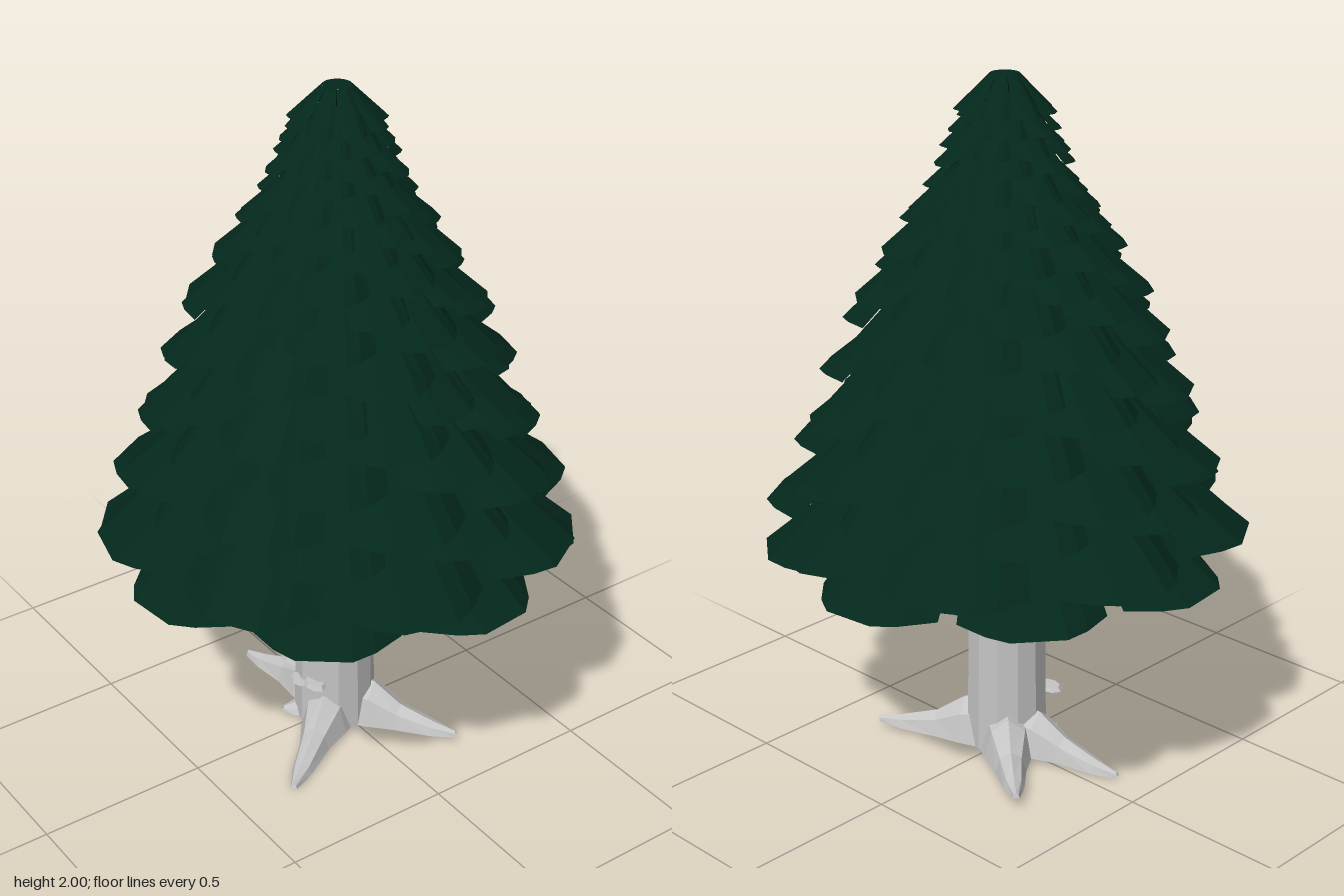
import * as THREE from 'three';

const foliageMat = new THREE.MeshStandardMaterial({ color: 0x04281c, side: THREE.DoubleSide, flatShading: true });
foliageMat.name = 'dark green needles';
const barkMat = new THREE.MeshStandardMaterial({ color: 0xc4c4c4, side: THREE.DoubleSide, flatShading: true });
barkMat.name = 'pale grey bark';

const RAD = Math.PI / 180;

// Joins equal-length rows of points into faceted quads; "closed" wraps each row
function loft(rows, closed = false) {
  const pos = [];
  for (let i = 0; i < rows.length - 1; i++) {
    const a = rows[i], b = rows[i + 1], n = a.length;
    for (let j = 0; j < (closed ? n : n - 1); j++) {
      const k = (j + 1) % n;
      pos.push(...a[j], ...b[j], ...b[k], ...a[j], ...b[k], ...a[k]);
    }
  }
  const g = new THREE.BufferGeometry();
  g.setAttribute('position', new THREE.Float32BufferAttribute(pos, 3));
  g.computeVertexNormals();
  return g;
}

// One drooping bough: steep at its level hem, flatter towards the trunk, sides folded down
function boughGeometry(R, steep, inner, top) {
  const row = (pts) => pts.map(([deg, r, y]) => [
    r * Math.sin(deg * RAD), y, -r * Math.cos(deg * RAD),
  ]).reverse();
  const mid = R * 0.72, y = steep * R * 0.28;
  return loft([
    row([[-22, inner, top], [-14, inner, top], [-6.4, inner, top], [6.4, inner, top], [14, inner, top], [22, inner, top]]),
    row([[-21, mid * 0.9, y], [-13, mid * 0.97, y], [-6.4, mid, y], [6.4, mid, y], [13, mid * 0.97, y], [21, mid * 0.9, y]]),
    row([[-20, R * 0.86, 0], [-12, R * 0.95, 0], [-6.4, R, 0], [6.4, R, 0], [12, R * 0.95, 0], [20, R * 0.86, 0]]),
  ]);
}

// Tapering root with a raised ridge, running from the trunk to its tip
function rootGeometry(length, height, tip) {
  const section = (t, w, low, h) => {
    const d = 0.03 + (length - 0.03) * t;
    return [[d, low, -w], [d, low + h * 0.7, -w * 0.7], [d, low + h, 0], [d, low + h * 0.7, w * 0.7], [d, low, w]];
  };
  return loft([
    section(0, 0.085, 0.015, height * 1.15),
    section(0.26, 0.07, 0.015, height),
    section(0.5, 0.045, 0.012, height * 0.55),
    section(0.8, 0.03, 0.004 + tip * 0.6, height * 0.28),
    section(1, 0.01, tip, 0.018),
  ], true);
}

export function createModel() {
  const tree = new THREE.Group();
  tree.name = 'pineTree';
  const add = (parent, name, geo, mat) => {
    const m = new THREE.Mesh(geo, mat);
    m.name = name;
    parent.add(m);
    return m;
  };

  // Foliage tiers: [bottom height, radius]
  const tiers = [
    [0.665, 0.68], [0.745, 0.692], [0.86, 0.605], [0.935, 0.605], [1.04, 0.545], [1.15, 0.525],
    [1.21, 0.475], [1.305, 0.455], [1.395, 0.41], [1.46, 0.36], [1.525, 0.335], [1.595, 0.29],
    [1.635, 0.26], [1.69, 0.225], [1.76, 0.19], [1.8, 0.178], [1.85, 0.152], [1.9, 0.14],
  ];
  const foliage = new THREE.Group();
  foliage.name = 'foliage';
  tree.add(foliage);
  tiers.forEach(([y, R], k) => {
    const t = k / (tiers.length - 1);
    const inner = Math.max(0.04, Math.min(0.095, R * 0.25));
    const geo = boughGeometry(R, 0.77 + 0.23 * t, inner, R * (0.35 + 0.364 * t));
    const tier = new THREE.Group();
    tier.name = 'boughTier' + (k + 1);
    tier.position.y = y;
    for (let i = 0; i < 8; i++) {
      add(tier, 'bough', geo, foliageMat).rotation.y = -((k % 2 ? 14.5 : -6.5) + 45 * i) * RAD;
    }
    foliage.add(tier);
  });
  const cap = add(foliage, 'crownCap', new THREE.CircleGeometry(0.04, 16), foliageMat);
  cap.rotation.x = -Math.PI / 2;
  cap.position.y = 2;

  // Trunk
  const trunk = add(tree, 'trunk', new THREE.CylinderGeometry(0.106, 0.12, 1.0, 12), barkMat);
  trunk.position.set(0.005, 0.515, 0.013);

  // Roots: [tip x, tip z, height at the trunk, tip height]
  const roots = [[-0.38, 0.07, 0.12, 0], [0.337, -0.19, 0.12, 0.018], [0.24, 0.325, 0.12, 0],
    [-0.285, -0.25, 0.12, 0.03], [-0.07, 0.15, 0.08, 0.01]];
  for (const [x, z, h, tip] of roots) {
    const r = add(tree, 'root', rootGeometry(Math.hypot(x, z), h, tip), barkMat);
    r.rotation.y = Math.atan2(-z, x);
  }

  // Small bark shelves on the front of the trunk
  for (const [x, y, z, s] of [[-0.085, 0.18, 0.1, 0.045], [-0.01, 0.158, 0.13, 0.035], [0.055, 0.177, 0.12, 0.042]]) {
    const shelf = add(tree, 'barkShelf', new THREE.CylinderGeometry(s * 0.8, s, 0.012, 8), barkMat);
    shelf.position.set(x, y, z);
    shelf.scale.z = 0.7;
  }
  return tree;
}
